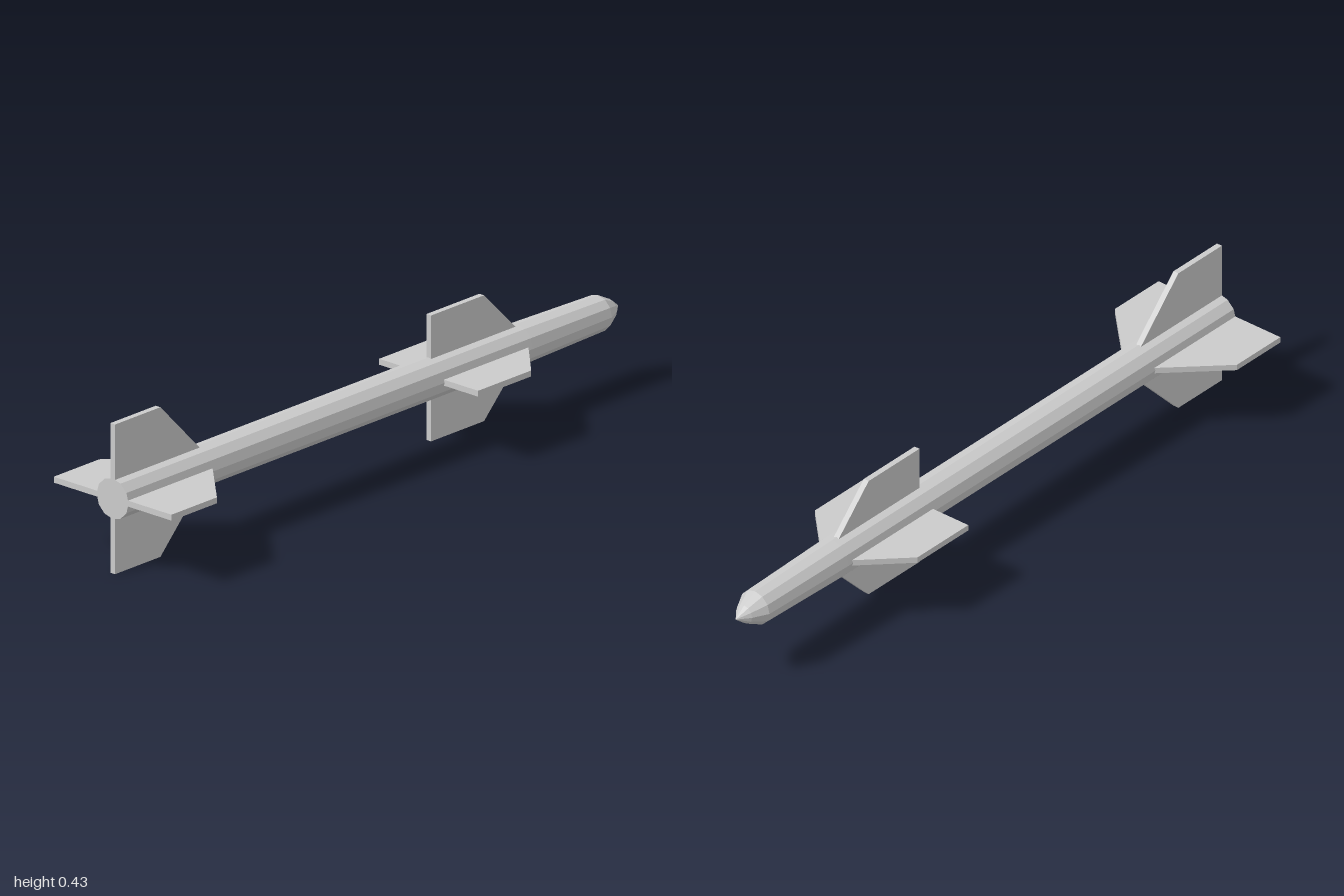
import * as THREE from 'three';

const AXIS_Y = 0.215;
const FIN_THICKNESS = 0.017;

// Four identical fins around the body axis; outline is [x, radius] pairs
function finSet(name, outline, material) {
  const set = new THREE.Group();
  set.name = name;
  const shape = new THREE.Shape(outline.map(([x, r]) => new THREE.Vector2(x, r)));
  const geometry = new THREE.ExtrudeGeometry(shape, { depth: FIN_THICKNESS, bevelEnabled: false });
  geometry.translate(0, 0, -FIN_THICKNESS / 2);
  ['top', 'left', 'bottom', 'right'].forEach((side, i) => {
    const fin = new THREE.Mesh(geometry, material);
    fin.name = `${side}Fin`;
    fin.rotation.x = (i * Math.PI) / 2;
    set.add(fin);
  });
  return set;
}

// Faceted solid of revolution along x; profile is [x, radius] from tail to tip
function turned(name, profile, material) {
  const points = profile.map(([x, r]) => new THREE.Vector2(r, x));
  const mesh = new THREE.Mesh(new THREE.LatheGeometry(points, 12), material);
  mesh.name = name;
  mesh.rotation.z = -Math.PI / 2;
  return mesh;
}

export function createModel() {
  const model = new THREE.Group();
  model.name = 'missile';
  const material = new THREE.MeshStandardMaterial({ color: 0xcccccc, flatShading: true });

  const assembly = new THREE.Group();
  assembly.name = 'airframe';
  assembly.position.y = AXIS_Y;
  model.add(assembly);

  // Long tube with a flat tail, narrowing slightly ahead of the front fins
  assembly.add(turned('body', [[-1, 0], [-1, 0.058], [0.6, 0.058], [0.92, 0.051]], material));

  // Short pointed nose
  assembly.add(turned('nose', [[0.92, 0.051], [0.965, 0.028], [1, 0]], material));

  // Clipped fins at the tail and smaller ones near the nose
  assembly.add(finSet('tailFins',
    [[-1, 0.03], [-0.64, 0.03], [-0.82, 0.214], [-1, 0.214]], material));
  assembly.add(finSet('frontFins',
    [[0.25, 0.03], [0.61, 0.03], [0.46, 0.18], [0.25, 0.18]], material));

  return model;
}
